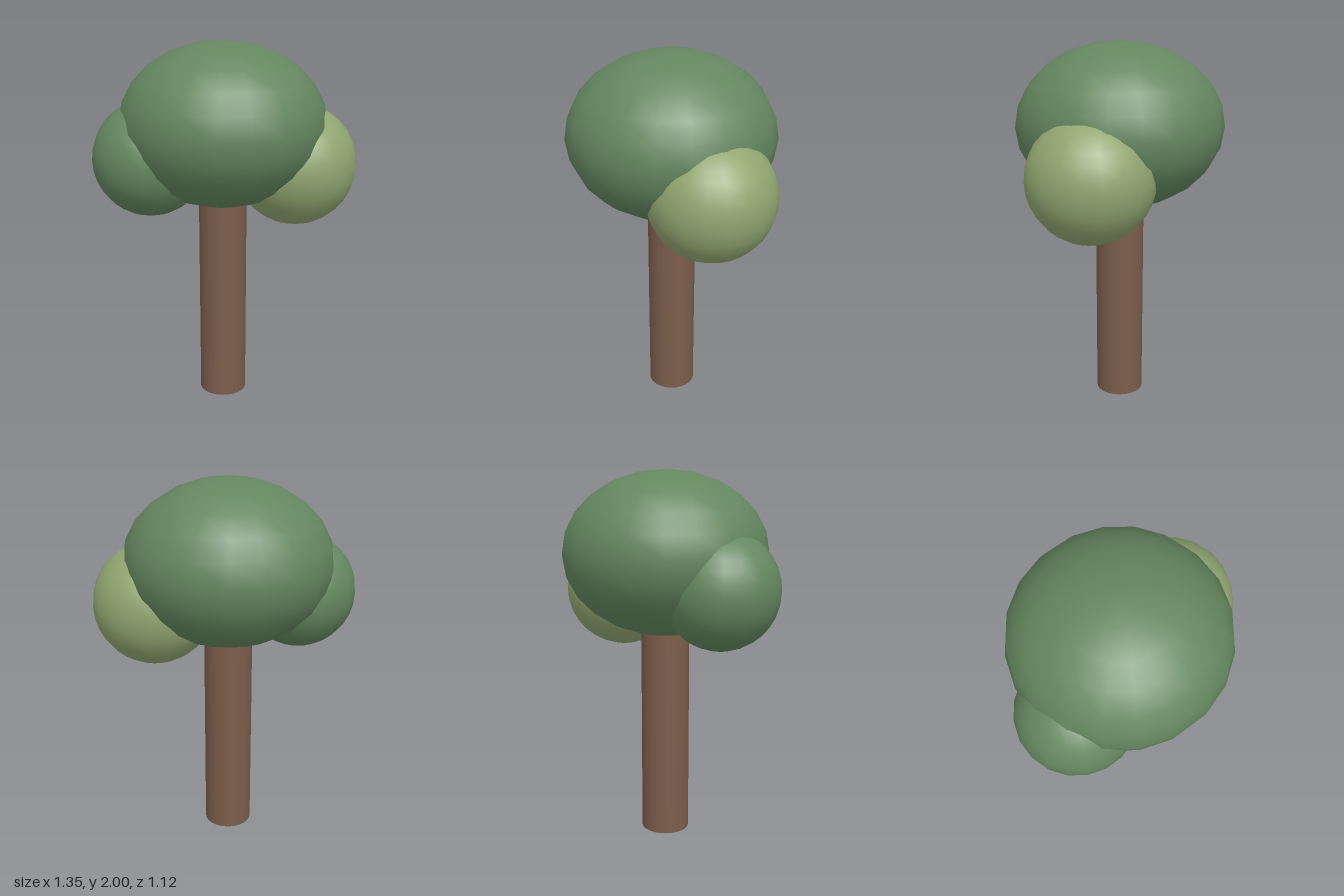
import * as THREE from 'three';

function material(name, color) {
  const m = new THREE.MeshStandardMaterial({ color });
  m.name = name;
  return m;
}

export function createModel() {
  const bark = material('bark brown', 0x7b5d4b);
  const green = material('leaf green', 0x64875f);
  const lime = material('light leaf green', 0x90a670);

  const tree = new THREE.Group();
  tree.name = 'tree';

  // Straight trunk, its top buried in the crown
  const trunk = new THREE.Mesh(new THREE.CylinderGeometry(0.132, 0.132, 1.3, 24), bark);
  trunk.name = 'trunk';
  trunk.position.set(-0.027, 0.65, 0);
  tree.add(trunk);

  // Rounded leaf masses: name, material, centre, radii, segments around and down
  const foliage = [
    ['crown', green, [-0.027, 1.56, 0], [0.558, 0.44, 0.558], 20, 12],
    ['frontRightFoliage', green, [-0.365, 1.39, 0.19], [0.31, 0.31, 0.31], 20, 16],
    ['backLeftFoliage', lime, [0.34, 1.345, -0.14], [0.33, 0.33, 0.333], 20, 16],
  ];
  for (const [name, mat, centre, radii, around, down] of foliage) {
    const mesh = new THREE.Mesh(new THREE.SphereGeometry(1, around, down), mat);
    mesh.name = name;
    mesh.position.set(...centre);
    mesh.scale.set(...radii);
    tree.add(mesh);
  }
  return tree;
}
